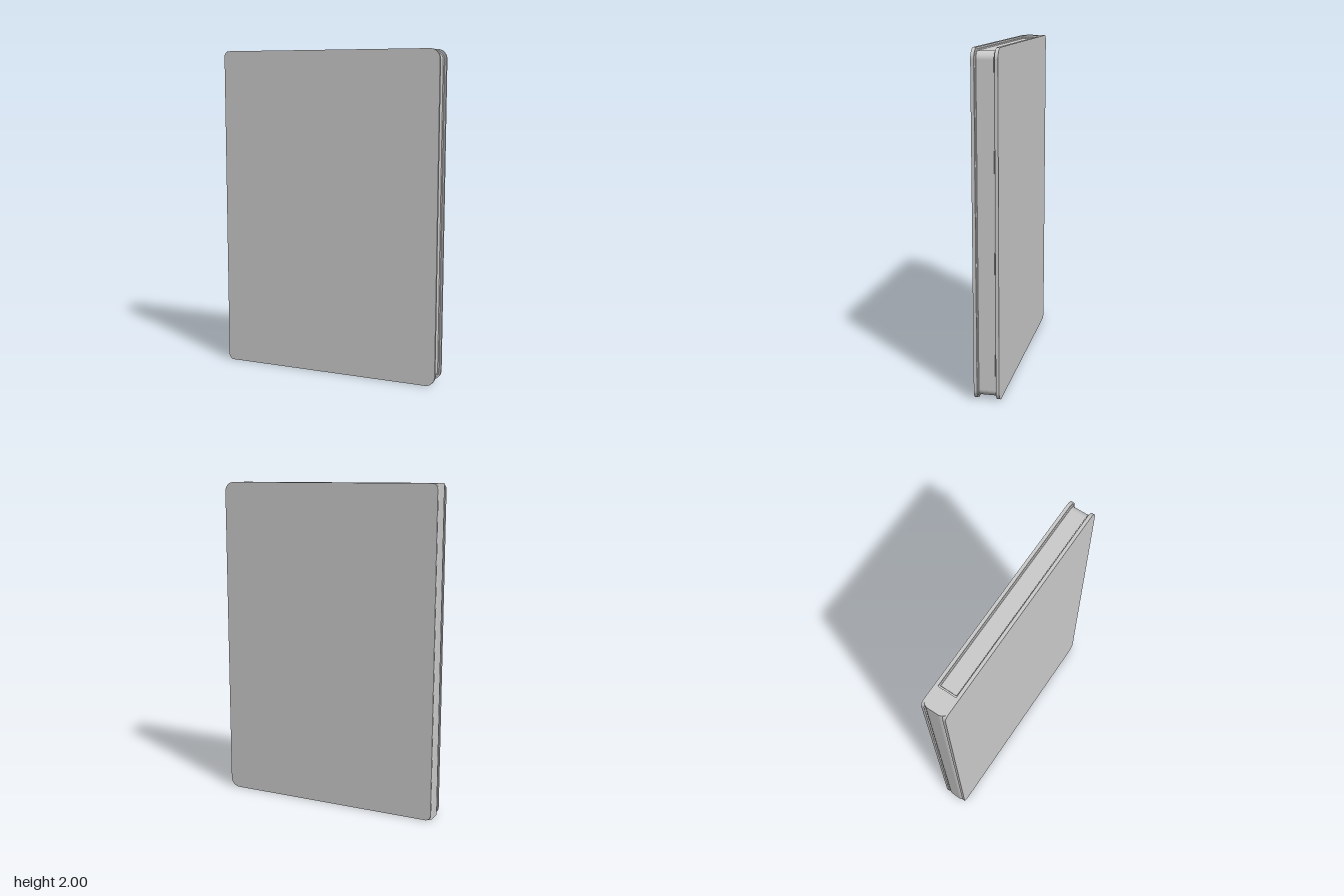
import * as THREE from 'three';

const W = 0.703, H = 1, D = 0.0745, COVER = 0.019;
const material = new THREE.MeshStandardMaterial({ color: 0xcccccc });

// Rectangle in x/y, centred on y, with separate corner radii for each side
function panel(x0, x1, h, rSpine, rFore) {
  const s = new THREE.Shape();
  s.moveTo(x0 + rSpine, -h);
  s.lineTo(x1 - rFore, -h);
  s.absarc(x1 - rFore, -h + rFore, rFore, -Math.PI / 2, 0);
  s.absarc(x1 - rFore, h - rFore, rFore, 0, Math.PI / 2);
  s.lineTo(x0 + rSpine, h);
  if (rSpine > 0) {
    s.absarc(x0 + rSpine, h - rSpine, rSpine, Math.PI / 2, Math.PI);
    s.absarc(x0 + rSpine, -h + rSpine, rSpine, Math.PI, Math.PI * 1.5);
  }
  s.closePath();
  return s;
}

// Extrusion along z, centred on z = 0
function slab(shape, depth, bevel = 0) {
  const g = new THREE.ExtrudeGeometry(shape, {
    depth: depth - 2 * bevel, curveSegments: 10, bevelEnabled: bevel > 0,
    bevelThickness: bevel, bevelSize: bevel, bevelOffset: -bevel, bevelSegments: 2,
  });
  return g.translate(0, 0, -depth / 2 + bevel);
}

export function createModel() {
  const book = new THREE.Group();
  book.name = 'book';
  const add = (name, geometry, z = 0) => {
    const mesh = new THREE.Mesh(geometry, material);
    mesh.name = name;
    mesh.position.set(0, H, z);
    book.add(mesh);
  };

  // Two hard covers, with a narrow bevelled endpaper lip inside each
  for (const [side, s] of [['front', 1], ['back', -1]]) {
    add(side + 'Cover', slab(panel(-W, W, H, 0.035, 0.06), COVER), s * (D - COVER / 2));
    add(side + 'Endpaper', slab(panel(-0.6, W - 0.01, H - 0.01, 0, 0.05), 0.012, 0.005), s * (D - COVER - 0.001));
  }

  // Page block, set back from the cover edges
  add('pages', slab(panel(-0.6, W - 0.018, H - 0.018, 0, 0.045), 2 * (D - COVER) + 0.004));

  // Spine: flat inside, rounded at its two outer edges
  const r = 0.045, d = D - 0.0003, inner = -0.58;
  const profile = new THREE.Shape();
  profile.moveTo(inner, -d);
  profile.lineTo(inner, d);
  profile.lineTo(-W + r, d);
  profile.absarc(-W + r, d - r, r, Math.PI / 2, Math.PI);
  profile.absarc(-W + r, -d + r, r, Math.PI, Math.PI * 1.5);
  profile.closePath();
  add('spine', slab(profile, 2 * H).rotateX(-Math.PI / 2));

  // Hinge strip between spine and pages
  add('hinge', slab(panel(inner - 0.02, inner + 0.012, H - 0.01, 0, 0.004), 2 * (D - COVER)));
  return book;
}
